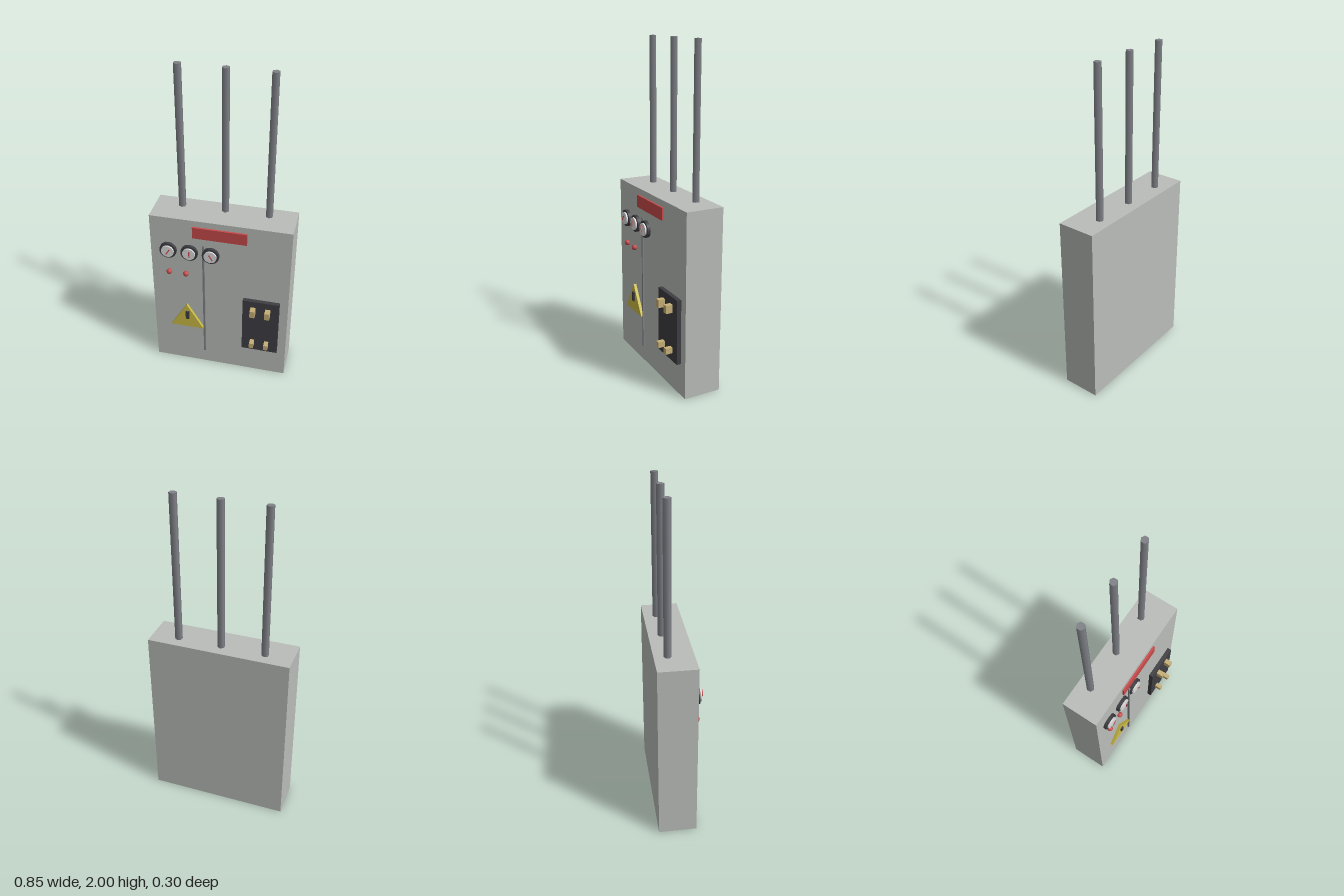
import * as THREE from 'three';

const mat = (name, color) => {
  const m = new THREE.MeshStandardMaterial({ color });
  m.name = name;
  return m;
};

export function createModel() {
  const grey = mat('cabinet grey', 0xbabdb9);
  const steel = mat('conduit steel', 0x808288);
  const dark = mat('dark plastic', 0x3e3d43);
  const white = mat('dial white', 0xdcdcdc);
  const red = mat('signal red', 0xc84b4b);
  const yellow = mat('warning yellow', 0xccbc45);
  const brass = mat('brass', 0xc6b078);

  const FRONT = 0.08; // z of the cabinet's front face
  const model = new THREE.Group();
  model.name = 'electricalCabinet';

  const add = (name, geometry, material, x, y, z, parent = model) => {
    const mesh = new THREE.Mesh(geometry, material);
    mesh.name = name;
    mesh.position.set(x, y, z);
    parent.add(mesh);
    return mesh;
  };
  // Box mounted with its back at z0
  const plate = (name, w, h, d, material, x, y, z0 = FRONT, parent = model) =>
    add(name, new THREE.BoxGeometry(w, h, d), material, x, y, z0 + d / 2, parent);
  // Round disc facing +z with its back at z0
  const disc = (name, r, d, material, z0, parent) =>
    add(name, new THREE.CylinderGeometry(r, r, d, 20).rotateX(Math.PI / 2), material, 0, 0, z0 + d / 2, parent);

  // Cabinet body
  plate('cabinet', 0.85, 1.115, 0.228, grey, 0, 0.5575, -0.148);

  // Hexagonal conduits rising from the top
  for (const x of [-0.262, 0, 0.262]) {
    const rod = new THREE.CylinderGeometry(0.022, 0.022, 0.9, 6);
    add('conduit', rod, steel, x, 1.55, -0.07);
  }

  // Red header plate and door seam
  plate('headerPlate', 0.326, 0.075, 0.012, red, 0, 1.0375);
  plate('doorSeam', 0.012, 0.85, 0.01, steel, -0.1, 0.525);

  // Gauges: bezel, dial and a needle in front of it
  [-0.55, 0, 0.55].forEach((tilt, i) => {
    const gauge = new THREE.Group();
    gauge.name = 'gauge';
    gauge.position.set(-0.315 + i * 0.131, 0.889, FRONT);
    model.add(gauge);
    disc('gaugeBezel', 0.052, 0.02, dark, 0, gauge);
    disc('gaugeDial', 0.039, 0.01, white, 0.02, gauge);
    const needle = plate('gaugeNeedle', 0.006, 0.042, 0.004, red, 0.006, 0.006, 0.038, gauge);
    needle.rotation.z = tilt;
  });

  // Indicator lamps
  for (const x of [-0.315, -0.21]) {
    add('indicatorLamp', new THREE.SphereGeometry(0.018, 8, 6), red, x, 0.725, 0.089);
  }

  // Warning triangle with a small bolt mark
  const triangle = new THREE.Shape([
    new THREE.Vector2(-0.105, 0), new THREE.Vector2(0.105, 0), new THREE.Vector2(0, 0.18),
  ]);
  add('warningSign', new THREE.ExtrudeGeometry(triangle, { depth: 0.018, bevelEnabled: false }),
    yellow, -0.21, 0.3, FRONT);
  plate('boltMark', 0.022, 0.06, 0.009, dark, -0.206, 0.4, 0.098);

  // Terminal board with four contacts
  plate('terminalBoard', 0.226, 0.395, 0.026, dark, 0.261, 0.3975);
  for (const x of [0.215, 0.306]) {
    plate('upperContact', 0.031, 0.048, 0.042, brass, x, 0.527, 0.106);
    plate('lowerContact', 0.026, 0.036, 0.042, brass, x, 0.267, 0.106);
  }

  return model;
}
